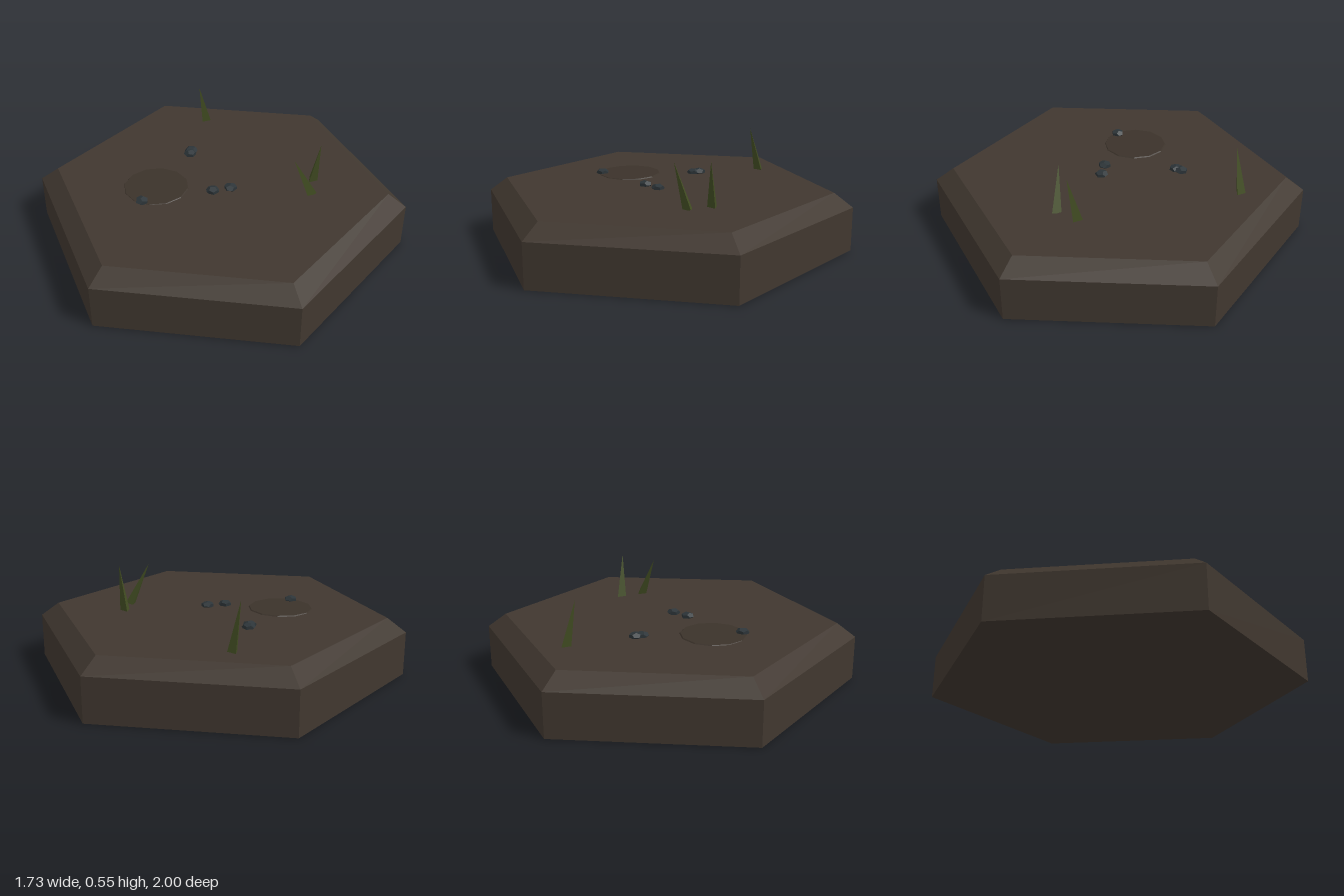
import * as THREE from 'three';

const TOP = 0.31;

export function createModel() {
  const model = new THREE.Group();
  model.name = 'hexGroundTile';

  const mat = (name, color) => {
    const m = new THREE.MeshStandardMaterial({ color, flatShading: true });
    m.name = name;
    return m;
  };
  const earth = mat('dark earth', 0x40372f);
  const mud = mat('damp mud', 0x3b322a);
  const stone = mat('slate stone', 0x2c3438);
  const grass = mat('dry grass', 0x414c22);

  const add = (name, geometry, material) => {
    const mesh = new THREE.Mesh(geometry, material);
    mesh.name = name;
    model.add(mesh);
    return mesh;
  };

  // Hexagonal slab: straight sides below, bevelled rim above
  add('slabBase', new THREE.CylinderGeometry(1, 1, 0.235, 6, 1, true), earth).position.y = 0.1175;
  add('slabRim', new THREE.CylinderGeometry(0.9, 1, TOP - 0.235, 6, 1, true), earth)
    .position.y = (TOP + 0.235) / 2;
  const top = add('slabTop', new THREE.CircleGeometry(0.9, 6, Math.PI / 2), earth);
  top.rotation.x = -Math.PI / 2;
  top.position.y = TOP;
  const bottom = add('slabBottom', new THREE.CircleGeometry(1, 6, Math.PI / 2), earth);
  bottom.rotation.x = Math.PI / 2;

  // Shallow mud patch, almost flush with the ground
  const patch = add('mudPatch', new THREE.CylinderGeometry(0.17, 0.175, 0.005, 12), mud);
  patch.position.set(-0.235, TOP + 0.0015, 0.25);
  patch.rotation.x = 0.012;

  // Flattened pebbles: x, z, turn
  const pebbles = [
    [-0.312, -0.14, 0.3], [-0.296, -0.11, 1.2], [0.09, 0.02, 2.1],
    [0.032, 0.1, 0.8], [-0.2, 0.4, 1.7],
  ];
  for (const [x, z, turn] of pebbles) {
    const pebble = add('pebble', new THREE.DodecahedronGeometry(0.036), stone);
    pebble.scale.y = 0.6;
    pebble.position.set(x, TOP + 0.007, z);
    pebble.rotation.y = turn;
  }

  // Three-sided grass blades, each leaning from its root to its tip
  const blades = [
    [[-0.47, 0.305, -0.47], [-0.47, 0.55, -0.413]],
    [[0.388, 0.305, -0.315], [0.434, 0.55, -0.308]],
    [[0.455, 0.305, -0.205], [0.394, 0.53, -0.12]],
  ];
  const up = new THREE.Vector3(0, 1, 0);
  for (const [root, tip] of blades) {
    const a = new THREE.Vector3(...root), b = new THREE.Vector3(...tip);
    const blade = add('grassBlade', new THREE.ConeGeometry(0.03, a.distanceTo(b), 3), grass);
    blade.position.copy(a).lerp(b, 0.5);
    blade.quaternion.setFromUnitVectors(up, b.sub(a).normalize());
  }
  return model;
}
